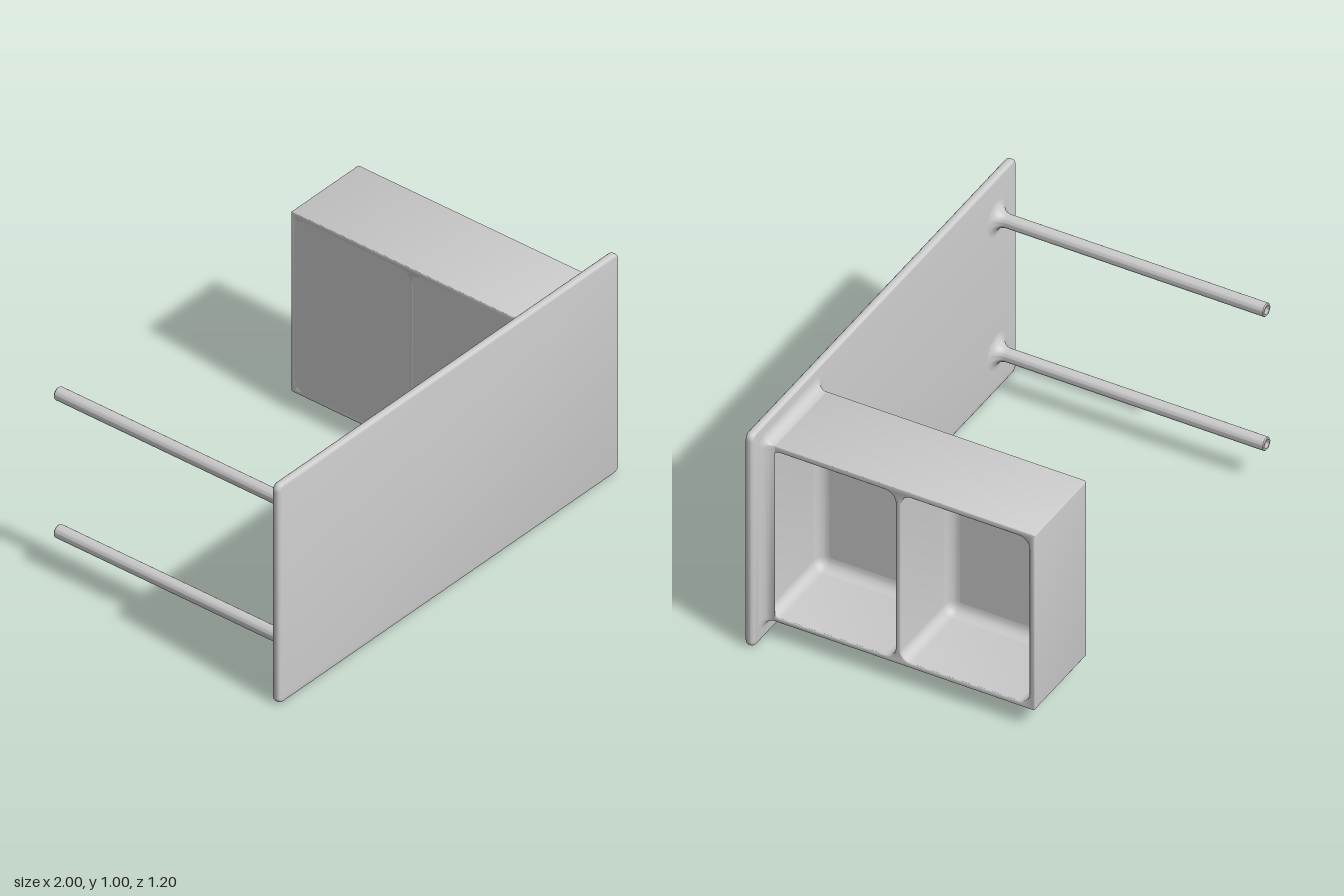
import * as THREE from 'three';
import { toCreasedNormals } from 'three/addons/utils/BufferGeometryUtils.js';

const material = new THREE.MeshStandardMaterial({ color: 0xcccccc });
const thinMaterial = new THREE.MeshStandardMaterial({ color: 0xcccccc, side: THREE.DoubleSide });

// Counter-clockwise outline of a rounded rectangle
function roundedRect(x0, y0, x1, y1, r, n = 6) {
  const points = [];
  const corners = [[x1 - r, y1 - r], [x0 + r, y1 - r], [x0 + r, y0 + r], [x1 - r, y0 + r]];
  corners.forEach(([cx, cy], k) => {
    for (let i = 0; i <= n; i++) {
      const a = (k + i / n) * Math.PI / 2;
      points.push(new THREE.Vector2(cx + r * Math.cos(a), cy + r * Math.sin(a)));
    }
  });
  return points;
}

// Extruded outline with softened edges, spanning z = 0 to depth
function slab(outline, holes, depth, bevel) {
  const shape = new THREE.Shape(outline);
  shape.holes = holes.map((h) => new THREE.Path(h));
  const geometry = new THREE.ExtrudeGeometry(shape, {
    depth: depth - 2 * bevel, bevelEnabled: bevel > 0, bevelThickness: bevel,
    bevelSize: bevel, bevelOffset: -bevel, bevelSegments: 3,
  });
  geometry.translate(0, 0, bevel);
  return toCreasedNormals(geometry, 0.6);
}

// Surface through a stack of matching outlines: [{ outline, z }]
function loft(sections) {
  const n = sections[0].outline.length, position = [], index = [];
  sections.forEach(({ outline, z }) => outline.forEach((p) => position.push(p.x, p.y, z)));
  for (let j = 0; j < sections.length - 1; j++) {
    for (let i = 0; i < n; i++) {
      const a = j * n + i, b = j * n + (i + 1) % n;
      index.push(a, b, b + n, a, b + n, a + n);
    }
  }
  const geometry = new THREE.BufferGeometry();
  geometry.setAttribute('position', new THREE.Float32BufferAttribute(position, 3));
  geometry.setIndex(index);
  return toCreasedNormals(geometry, 0.6);
}

// Concave quarter-round profile: sideways offset and distance from the base
function filletSteps(radius, steps = 6) {
  return Array.from({ length: steps + 1 }, (_, i) => {
    const a = i / steps * Math.PI / 2;
    return { offset: radius * (1 - Math.sin(a)), rise: radius * (1 - Math.cos(a)) };
  });
}

export function createModel() {
  const model = new THREE.Group();
  const add = (parent, name, geometry, mat = material) => {
    const mesh = new THREE.Mesh(geometry, mat);
    mesh.name = name;
    parent.add(mesh);
    return mesh;
  };
  const plateBack = 0.565;

  // Desk top, standing on its long edge
  add(model, 'deskTop', slab(roundedRect(-1, 0, 1, 1, 0.03), [], 0.6 - plateBack, 0.013))
    .position.z = plateBack;

  // Two-bay cabinet, open towards +x; its outline is drawn in (-z, y)
  const cabinet = new THREE.Group();
  cabinet.name = 'cabinet';
  model.add(cabinet);
  const x0 = 0.515, x1 = 0.91, floor = 0.025, y0 = 0.088, y1 = 0.912;
  const bays = [[-0.54, 0], [0.022, 0.577]];
  const bayOutline = ([a, b], inset) =>
    roundedRect(a + inset, 0.11 + inset, b - inset, 0.887 - inset, 0.045 - 0.8 * inset);
  const side = new THREE.Group();
  side.name = 'cabinetBody';
  side.rotation.y = Math.PI / 2;
  side.position.x = x0;
  cabinet.add(side);
  add(side, 'cabinetFrame', slab(roundedRect(-0.575, y0, 0.6, y1, 0.008),
    bays.map((bay) => bayOutline(bay, 0)), x1 - x0, 0.005));
  add(side, 'cabinetPanel', slab(roundedRect(-0.57, y0 + 0.006, 0.594, y1 - 0.006, 0.005), [], floor, 0));

  // Rounded join between the bay walls and the panel
  for (const bay of bays) {
    add(side, 'bayFillet', loft(filletSteps(0.045).map(({ offset, rise }) => (
      { outline: bayOutline(bay, offset), z: floor + rise }))), thinMaterial);
  }

  // Flared join between the cabinet and the desk top
  const cx = (x0 + x1) / 2, hw = (x1 - x0) / 2;
  const flare = add(cabinet, 'cabinetFlare', loft(filletSteps(0.045).map(({ offset: o, rise }) => (
    { outline: roundedRect(-hw - o, y0 - o, hw + o, y1 + o, 0.008 + o), z: rise }))), thinMaterial);
  flare.rotation.y = Math.PI;
  flare.position.set(cx, 0, plateBack);

  // Tubular legs with flared feet and open ends
  const radius = 0.028, length = 1.165, bore = 0.018;
  const profile = filletSteps(0.05, 8).map(({ offset, rise }) =>
    new THREE.Vector2(radius + offset, rise));
  [[radius, length - 0.004], [radius - 0.003, length], [bore, length],
    [bore, length - 0.1], [0, length - 0.1]]
    .forEach(([r, y]) => profile.push(new THREE.Vector2(r, y)));
  const legGeometry = toCreasedNormals(new THREE.LatheGeometry(profile, 32), 0.6);
  for (const [name, y] of [['upperLeg', 0.815], ['lowerLeg', 0.185]]) {
    const leg = add(model, name, legGeometry);
    leg.rotation.x = -Math.PI / 2;
    leg.position.set(-0.85, y, plateBack);
  }
  return model;
}
